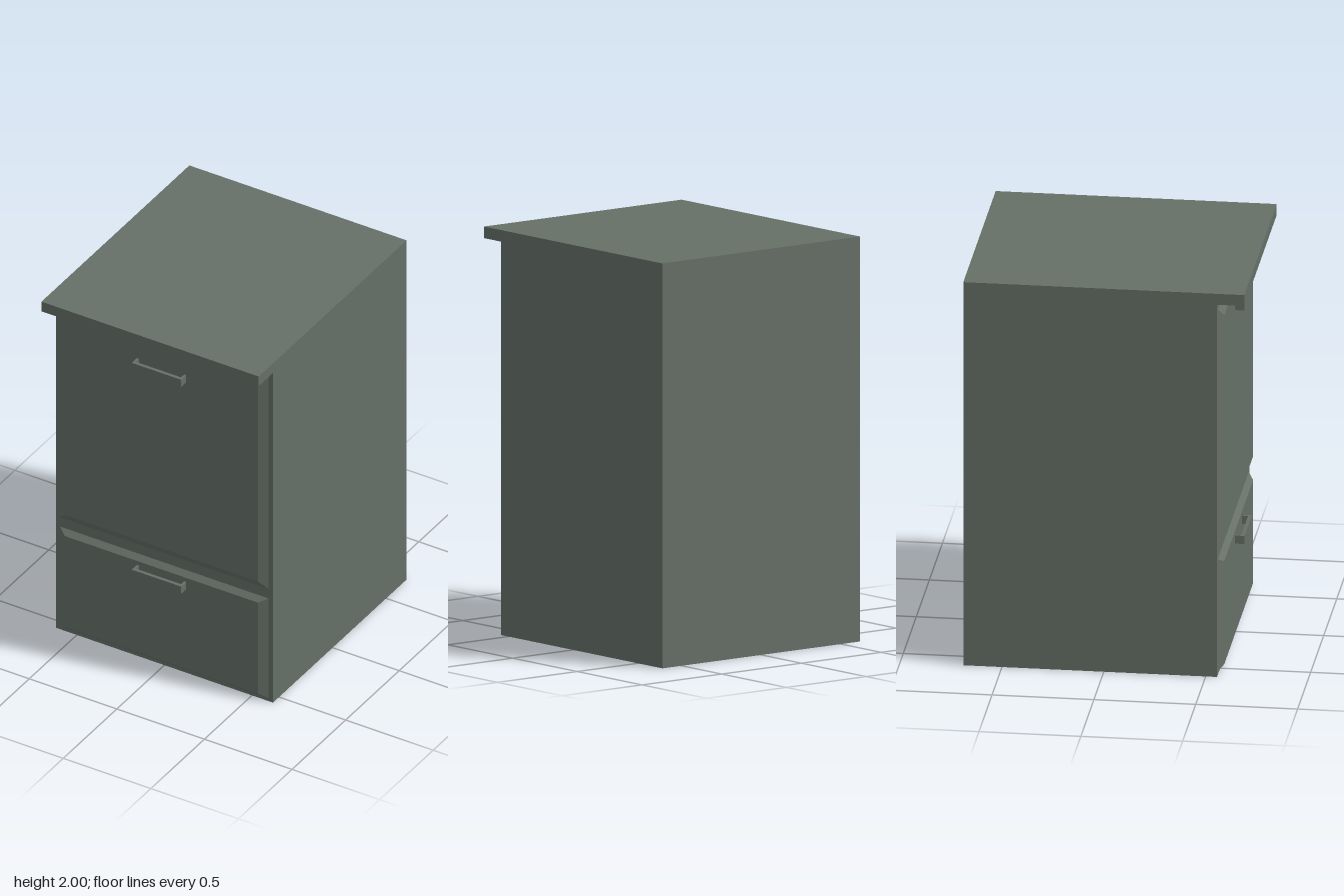
import * as THREE from 'three';

const paint = new THREE.MeshStandardMaterial({ color: 0x667067 });
paint.name = 'grey green paint';

// Box given by its min and max corners
function box(name, x0, x1, y0, y1, z0, z1) {
  const mesh = new THREE.Mesh(new THREE.BoxGeometry(x1 - x0, y1 - y0, z1 - z0), paint);
  mesh.position.set((x0 + x1) / 2, (y0 + y1) / 2, (z0 + z1) / 2);
  mesh.name = name;
  return mesh;
}

// Raised panel: a box whose front face is drawn in to make sloped borders
function bevelPanel(name, y0, y1, insetX, insetY) {
  const halfW = 0.595, back = 0.556, front = 0.583;
  const geo = new THREE.BoxGeometry(halfW * 2, y1 - y0, front - back);
  const p = geo.attributes.position;
  for (let i = 0; i < p.count; i++) {
    if (p.getZ(i) > 0) {
      p.setX(i, p.getX(i) - Math.sign(p.getX(i)) * insetX);
      p.setY(i, p.getY(i) - Math.sign(p.getY(i)) * insetY);
    }
  }
  geo.computeVertexNormals();
  const mesh = new THREE.Mesh(geo, paint);
  mesh.position.set(0, (y0 + y1) / 2, (back + front) / 2);
  mesh.name = name;
  return mesh;
}

// Bracket handle: a bar held by a thin post at each end
function handle(name, y0, y1) {
  const group = new THREE.Group();
  group.name = name;
  group.add(box('handleBar', -0.13, 0.13, y0, y1, 0.612, 0.63));
  for (const side of [-1, 1]) {
    group.add(box('handlePost', side * 0.135 - 0.006, side * 0.135 + 0.006, y0, y1, 0.58, 0.63));
  }
  return group;
}

export function createModel() {
  const cabinet = new THREE.Group();
  cabinet.name = 'cabinet';
  cabinet.add(
    box('body', -0.62, 0.62, 0, 1.943, -0.69, 0.556),
    box('worktop', -0.62, 0.62, 1.943, 2, -0.69, 0.69),
    bevelPanel('upperDoor', 0.66, 1.91, 0.043, 0.045),
    bevelPanel('lowerDrawer', 0.018, 0.605, 0.043, 0.025),
    handle('upperHandle', 1.733, 1.775),
    handle('lowerHandle', 0.514, 0.556)
  );
  return cabinet;
}
